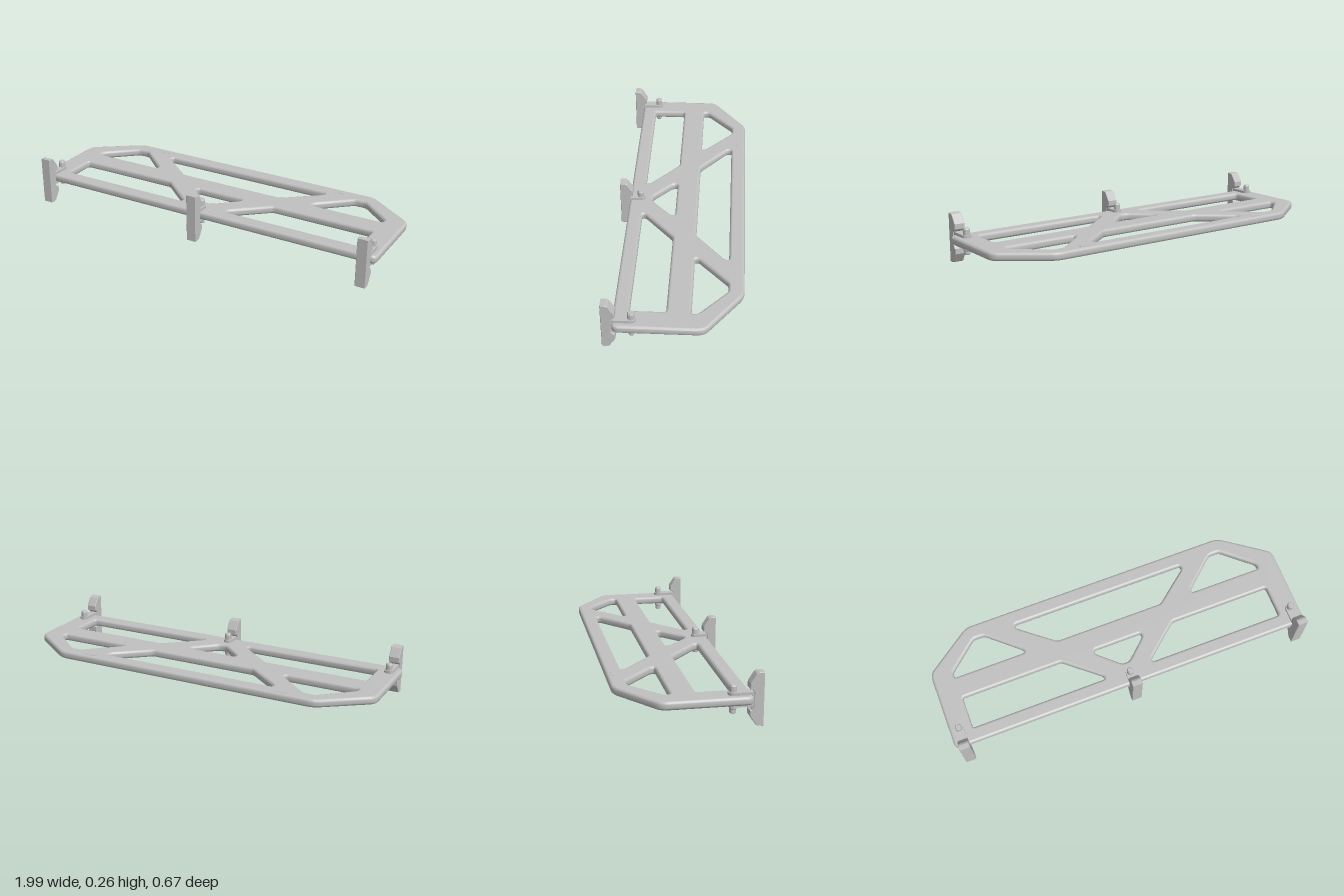
import * as THREE from 'three';
import { toCreasedNormals } from 'three/addons/utils/BufferGeometryUtils.js';

const PLATE_BOTTOM = 0.109, PLATE_TOP = 0.151, MID = 0.13;

// Traces a polygon anticlockwise with its corners rounded
function roundedPath(path, points, radius) {
  const pts = points.map(([x, y]) => new THREE.Vector2(x, y));
  if (THREE.ShapeUtils.isClockWise(pts)) pts.reverse();
  const n = pts.length;
  pts.forEach((p, i) => {
    const prev = pts[(i + n - 1) % n], next = pts[(i + 1) % n];
    const toward = (q) => {
      const d = q.clone().sub(p);
      return p.clone().addScaledVector(d, Math.min(radius / d.length(), 0.45));
    };
    const a = toward(prev), b = toward(next);
    if (i === 0) path.moveTo(a.x, a.y); else path.lineTo(a.x, a.y);
    path.quadraticCurveTo(p.x, p.y, b.x, b.y);
  });
  path.closePath();
  return path;
}

// Plan points are [x, z]; the shape plane uses -z
const plan = (points, side = 1) => points.map(([x, z]) => [x * side, -z]);
// Completes a half outline by mirroring it in x
const mirrored = (half) => [...half, ...half.slice().reverse().map(([x, z]) => [-x, z])];

function makePlate() {
  const outline = mirrored([[0.74, -0.335], [0.997, -0.15], [0.997, 0.285]]);
  const shape = roundedPath(new THREE.Shape(), plan(outline), 0.035);
  const cut = (points, side) =>
    shape.holes.push(roundedPath(new THREE.Path(), plan(points, side), 0.015));

  // Middle openings
  cut(mirrored([[0.485, -0.257], [0.485, -0.235], [0.3, -0.085]]));
  cut(mirrored([[0.135, 0.035], [0.135, 0.058], [0.02, 0.162]]));
  // Paired side openings
  for (const side of [-1, 1]) {
    cut([[0.488, -0.085], [0.488, -0.105], [0.66, -0.257], [0.72, -0.257],
      [0.882, -0.115], [0.882, -0.085]], side);
    cut([[0.322, 0.035], [0.877, 0.035], [0.877, 0.209], [0.138, 0.209], [0.138, 0.19]], side);
  }
  const bevel = 0.013;
  const geo = new THREE.ExtrudeGeometry(shape, {
    depth: PLATE_TOP - PLATE_BOTTOM - 2 * bevel, bevelSize: bevel, bevelThickness: bevel,
    bevelOffset: -bevel, bevelSegments: 3, curveSegments: 5,
  });
  geo.rotateX(-Math.PI / 2).translate(0, PLATE_BOTTOM + bevel, 0);
  const smooth = toCreasedNormals(geo, 0.6);
  // Keep the broad faces flat
  const { position, normal } = smooth.attributes;
  const { start, count } = smooth.groups[0];
  for (let i = start; i < start + count; i++) normal.setXYZ(i, 0, position.getY(i) > MID ? 1 : -1, 0);
  return smooth;
}

// Side profile of the upright pad, points are [z, height from the middle]
function makePad() {
  const upper = [[0.289, 0.036], [0.277, 0.051], [0.269, 0.051], [0.269, 0.078],
    [0.293, 0.115], [0.299, 0.1235], [0.309, 0.1285], [0.335, 0.1285]];
  const lower = upper.slice().reverse().map(([z, y]) => [z, -y]);
  const shape = new THREE.Shape([...upper, ...lower].map(([z, y]) => new THREE.Vector2(z, y)));
  const bevel = 0.002;
  const geo = new THREE.ExtrudeGeometry(shape, {
    depth: 0.051, bevelSize: bevel, bevelThickness: bevel, bevelOffset: -bevel, bevelSegments: 1,
  });
  return geo.translate(0, 0, -0.0255).rotateY(-Math.PI / 2).translate(0, 0.1285, 0);
}

// Flat arm with a round end about the bolt
function makeArm(boltZ) {
  const r = 0.024;
  const shape = new THREE.Shape();
  shape.moveTo(-r, -0.294);
  shape.lineTo(r, -0.294);
  shape.lineTo(r, -boltZ);
  shape.absarc(0, -boltZ, r, 0, Math.PI, false);
  shape.closePath();
  const geo = new THREE.ExtrudeGeometry(shape, { depth: 0.015, bevelEnabled: false, curveSegments: 16 });
  return toCreasedNormals(geo.rotateX(-Math.PI / 2), 0.6);
}

// Bolt with a plain head above and a stepped end below
function makeBolt() {
  const profile = [[0, 0.062], [0.013, 0.062], [0.0155, 0.066], [0.0155, 0.08], [0.0175, 0.083],
    [0.0175, 0.192], [0.0135, 0.2], [0, 0.2]];
  const geo = new THREE.LatheGeometry(profile.map(([r, y]) => new THREE.Vector2(r, y)), 24);
  return toCreasedNormals(geo, 0.4);
}

export function createModel() {
  const model = new THREE.Group();
  model.name = 'mountedTrussPlate';
  const grey = new THREE.MeshStandardMaterial({ color: 0xc0c0c0 });
  grey.name = 'plainGrey';

  const add = (parent, name, geo, x = 0, y = 0, z = 0) => {
    const mesh = new THREE.Mesh(geo, grey);
    mesh.name = name;
    mesh.position.set(x, y, z);
    parent.add(mesh);
    return mesh;
  };

  add(model, 'trussPlate', makePlate());

  // Small inlays along the rear rail, on both faces
  const inlay = new THREE.BoxGeometry(0.06, 0.002, 0.026);
  for (const x of [-0.56, 0.56])
    for (const y of [PLATE_BOTTOM, PLATE_TOP]) add(model, 'railInlay', inlay, x, y, -0.3);

  // Three clips: pad, web, two arms and a bolt
  const pad = makePad(), bolt = makeBolt();
  const web = new THREE.BoxGeometry(0.048, 0.07, 0.013);
  for (const [x, boltZ, name] of [[-0.945, 0.194, 'rightClip'], [0, 0.227, 'middleClip'],
    [0.945, 0.194, 'leftClip']]) {
    const clip = new THREE.Group();
    clip.name = name;
    clip.position.x = x;
    const arm = makeArm(boltZ);
    add(clip, 'pad', pad);
    add(clip, 'web', web, 0, MID, 0.287);
    add(clip, 'upperArm', arm, 0, 0.15, 0);
    add(clip, 'lowerArm', arm, 0, 0.095, 0);
    add(clip, 'bolt', bolt, 0, 0, boltZ);
    model.add(clip);
  }
  return model;
}
